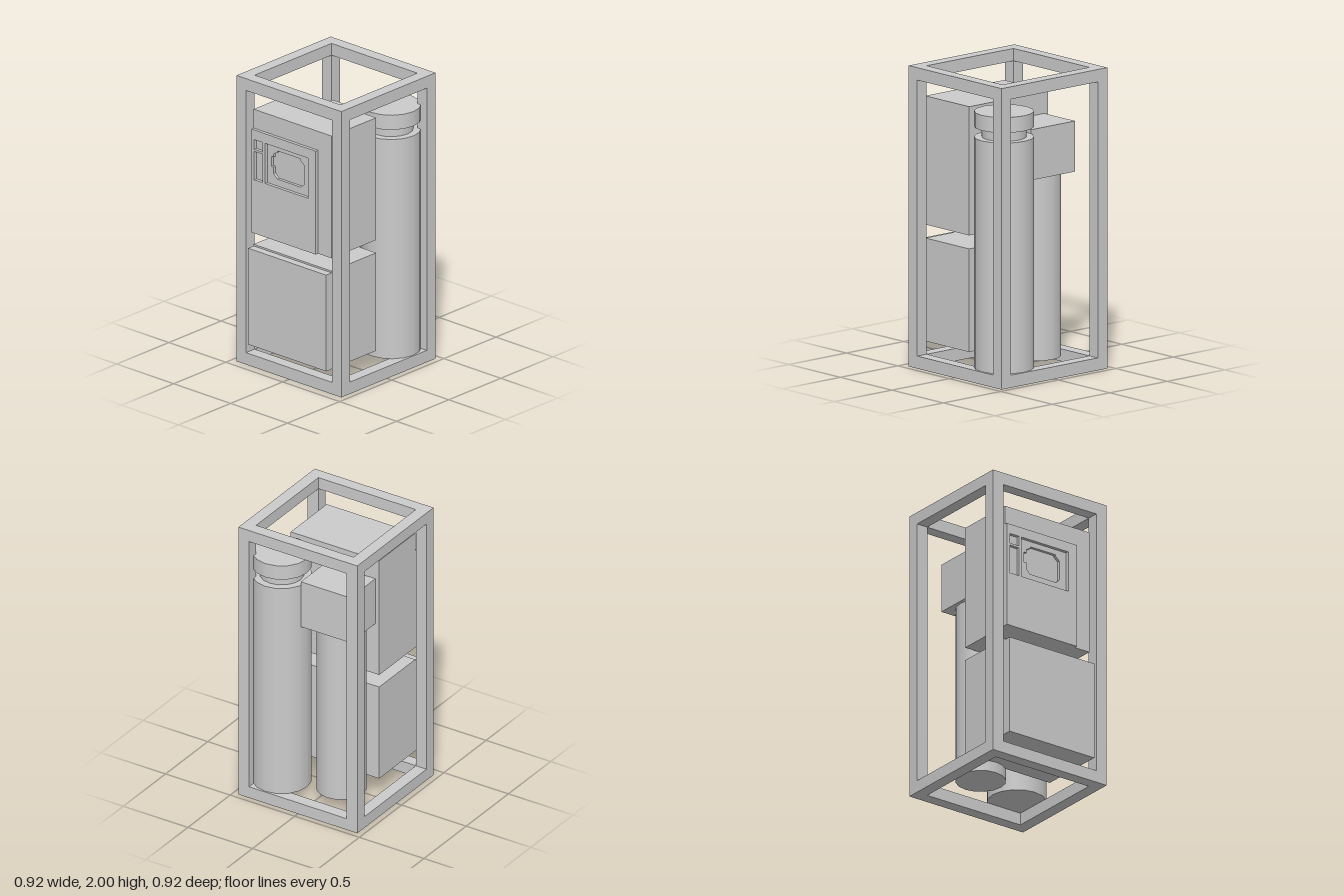
import * as THREE from 'three';

const material = new THREE.MeshStandardMaterial({ color: 0xcccccc });

function add(parent, name, geometry) {
  const mesh = new THREE.Mesh(geometry, material);
  mesh.name = name;
  parent.add(mesh);
  return mesh;
}

// Box given by its limits on each axis
function box(parent, name, [x0, x1], [y0, y1], [z0, z1]) {
  const mesh = add(parent, name, new THREE.BoxGeometry(x1 - x0, y1 - y0, z1 - z0));
  mesh.position.set((x0 + x1) / 2, (y0 + y1) / 2, (z0 + z1) / 2);
  return mesh;
}

// Upright cylinder standing between two heights
function tank(parent, name, x, z, radius, y0, y1, sides) {
  const mesh = add(parent, name, new THREE.CylinderGeometry(radius, radius, y1 - y0, sides));
  mesh.position.set(x, (y0 + y1) / 2, z);
  return mesh;
}

const rect = (x0, x1, y0, y1) => [[x0, y0], [x1, y0], [x1, y1], [x0, y1]];
const toPoints = (list) => list.map(([x, y]) => new THREE.Vector2(x, y));

// Flat plate with cut-outs, between two depths
function plate(parent, name, outline, holes, z0, z1) {
  const shape = new THREE.Shape(toPoints(outline));
  shape.holes = holes.map((hole) => new THREE.Path(toPoints(hole)));
  const mesh = add(parent, name, new THREE.ExtrudeGeometry(shape, { depth: z1 - z0, bevelEnabled: false }));
  mesh.position.z = z0;
  return mesh;
}

export function createModel() {
  const model = new THREE.Group();
  model.name = 'equipmentRack';

  // Open frame: four posts joined by top and bottom rails
  const frame = new THREE.Group();
  frame.name = 'frame';
  model.add(frame);
  const sideX = [[-0.46, -0.377], [0.377, 0.46]];
  const sideZ = [[-0.463, -0.38], [0.357, 0.44]];
  const sideY = [[0, 0.083], [1.917, 2]];
  for (const x of sideX) for (const z of sideZ) box(frame, 'post', x, [0, 2], z);
  for (const y of sideY) {
    for (const z of sideZ) box(frame, 'crossRail', [-0.377, 0.377], y, z);
    for (const x of sideX) box(frame, 'sideRail', x, y, [-0.38, 0.357]);
  }

  // Lower cabinet with its protruding door
  const lower = new THREE.Group();
  lower.name = 'lowerCabinet';
  model.add(lower);
  box(lower, 'lowerCabinetBody', [-0.34, 0.345], [0.157, 0.842], [-0.02, 0.407]);
  box(lower, 'lowerCabinetDoor', [-0.34, 0.345], [0.157, 0.83], [0.407, 0.46]);

  // Upper cabinet with a recessed socket behind the control panel
  const upper = new THREE.Group();
  upper.name = 'upperCabinet';
  model.add(upper);
  box(upper, 'upperCabinetBody', [-0.34, 0.345], [0.932, 1.787], [-0.02, 0.387]);
  const socket = [
    [-0.13, 1.552], [0.07, 1.552], [0.07, 1.542], [0.102, 1.515], [0.102, 1.38], [0.075, 1.355],
    [-0.135, 1.355], [-0.165, 1.385], [-0.165, 1.43], [-0.185, 1.43], [-0.185, 1.5],
    [-0.165, 1.5], [-0.165, 1.522], [-0.13, 1.542],
  ];
  plate(upper, 'upperCabinetFace', rect(-0.34, 0.345, 0.932, 1.787), [socket], 0.387, 0.407);
  plate(upper, 'controlPanel', rect(-0.34, 0.226, 0.932, 1.655), [
    rect(-0.22, 0.157, 1.307, 1.588),
    rect(-0.314, -0.243, 1.52, 1.588),
    rect(-0.314, -0.243, 1.307, 1.505),
  ], 0.407, 0.43);

  // Tall tank with neck and cap
  const tall = new THREE.Group();
  tall.name = 'tallTank';
  model.add(tall);
  tank(tall, 'tallTankBody', 0.257, -0.26, 0.195, 0.083, 1.617, 16);
  tank(tall, 'tallTankNeck', 0.257, -0.26, 0.145, 1.617, 1.685, 16);
  tank(tall, 'tallTankCap', 0.257, -0.26, 0.195, 1.685, 1.787, 16);

  // Short tank carrying a box-shaped head
  const short = new THREE.Group();
  short.name = 'shortTank';
  model.add(short);
  tank(short, 'shortTankBody', -0.125, -0.14, 0.165, 0.083, 1.307, 16);
  box(short, 'shortTankHead', [-0.31, 0.073], [1.307, 1.643], [-0.317, -0.02]);

  return model;
}
